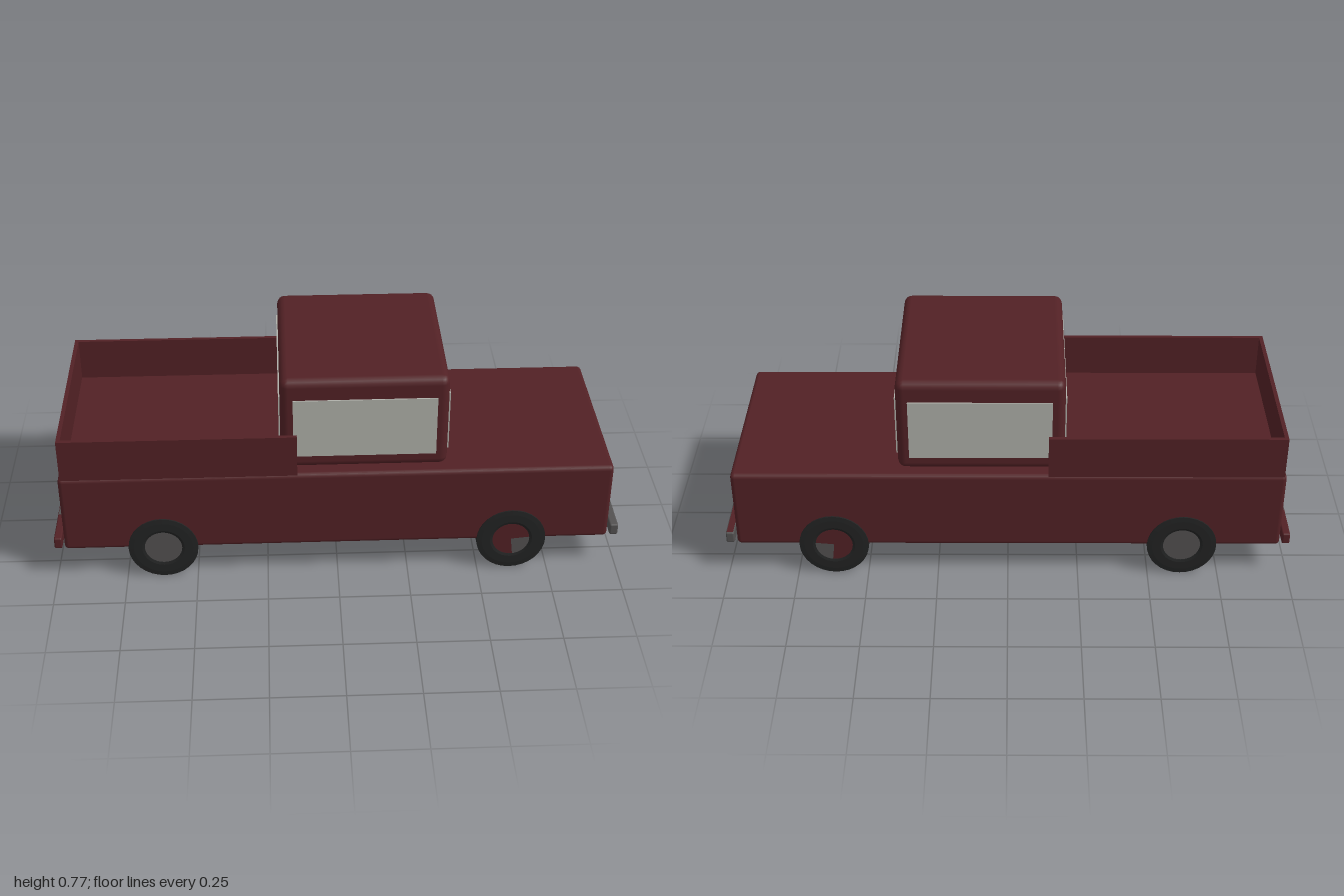
import * as THREE from 'three';
import { RoundedBoxGeometry } from 'three/addons/geometries/RoundedBoxGeometry.js';

const mat = (name, color, side = THREE.FrontSide) => {
  const m = new THREE.MeshStandardMaterial({ color, side });
  m.name = name;
  return m;
};

export function createModel() {
  const truck = new THREE.Group();
  truck.name = 'pickupTruck';
  const paint = mat('darkRedPaint', 0x522125);
  const glass = mat('paleGlass', 0xb0b1aa);
  const steel = mat('greySteel', 0x535151);
  const rubber = mat('blackRubber', 0x222323);

  const add = (name, geometry, material, parent = truck) => {
    const mesh = new THREE.Mesh(geometry, material);
    mesh.name = name;
    parent.add(mesh);
    return mesh;
  };
  // Box given by its limits on each axis, with optional rounded edges
  const box = (name, material, [x0, x1], [y0, y1], [z0, z1], radius = 0) => {
    const size = [x1 - x0, y1 - y0, z1 - z0];
    const geometry = radius
      ? new RoundedBoxGeometry(...size, 2, radius)
      : new THREE.BoxGeometry(...size);
    const mesh = add(name, geometry, material);
    mesh.position.set((x0 + x1) / 2, (y0 + y1) / 2, (z0 + z1) / 2);
    return mesh;
  };

  // Body and cab
  box('body', paint, [-0.965, 0.962], [0.12, 0.42], [-0.346, 0.346], 0.016);
  box('cab', paint, [-0.196, 0.381], [0.424, 0.775], [-0.313, 0.313], 0.028);
  box('cabBase', paint, [-0.165, 0.35], [0.41, 0.44], [-0.285, 0.285]);

  // Windscreen and rear window
  box('windscreen', glass, [0.378, 0.386], [0.477, 0.7], [-0.285, 0.285]);
  box('rearWindow', glass, [-0.201, -0.193], [0.477, 0.7], [-0.285, 0.285]);

  // Cargo bed
  box('tailgate', paint, [-0.955, -0.941], [0.418, 0.575], [-0.346, 0.346]);

  // Bumpers, with contrasting strips on top
  box('frontBumper', steel, [0.97, 1], [0.127, 0.17], [-0.346, 0.346], 0.006);
  box('frontBumperStrip', paint, [0.974, 0.996], [0.168, 0.171], [-0.34, 0.2]);
  box('rearBumper', paint, [-1, -0.972], [0.127, 0.17], [-0.346, 0.346], 0.006);
  box('rearBumperStrip', steel, [-0.997, -0.975], [0.168, 0.171], [-0.2, 0.2]);

  // Grille
  box('grille', steel, [0.956, 0.971], [0.24, 0.298], [-0.139, 0.139], 0.003);

  // Parts repeated on both sides
  for (const s of [1, -1]) {
    const span = (a, b) => (s > 0 ? [a, b] : [-b, -a]);
    box('sideWindow', glass, [-0.152, 0.34], [0.477, 0.7], span(0.309, 0.318));
    box('bedSide', paint, [-0.955, -0.14], [0.418, 0.575], span(0.333, 0.347));
    box('headlight', glass, [0.956, 0.974], [0.278, 0.322], span(0.188, 0.272), 0.004);
    box('tailLight', paint, [-0.975, -0.958], [0.3, 0.336], span(0.2, 0.275), 0.004);
  }

  // Wheels: tyre ring with a recessed hub, axis along z
  const tyreProfile = [
    [0.066, -0.036], [0.075, -0.039], [0.105, -0.039], [0.123, -0.037],
    [0.123, 0.037], [0.105, 0.039], [0.075, 0.039], [0.066, 0.036], [0.066, -0.036],
  ].map(([r, h]) => new THREE.Vector2(r, h));
  const tyreGeometry = new THREE.LatheGeometry(tyreProfile, 32)
    .toNonIndexed().rotateX(Math.PI / 2);
  tyreGeometry.computeVertexNormals();
  const hubGeometry = new THREE.CylinderGeometry(0.068, 0.068, 0.067, 32).rotateX(Math.PI / 2);
  const capGeometry = new THREE.CircleGeometry(0.067, 32);
  const wedgeGeometry = new THREE.CircleGeometry(0.067, 12, -1.45, 1.55);

  for (const x of [-0.617, 0.617]) {
    for (const s of [1, -1]) {
      const wheel = new THREE.Group();
      wheel.name = x > 0 ? 'frontWheel' : 'rearWheel';
      wheel.position.set(x, 0.123, s * 0.3135);
      truck.add(wheel);
      add('tyre', tyreGeometry, rubber, wheel);
      add('hub', hubGeometry, steel, wheel);
      if (x > 0) {
        // Painted front hub face with a bare steel wedge
        const cap = add('hubFace', capGeometry, paint, wheel);
        cap.position.z = s * 0.0345;
        const wedge = add('hubWedge', wedgeGeometry, steel, wheel);
        wedge.position.z = s * 0.0355;
        if (s < 0) {
          cap.rotation.y = Math.PI;
          wedge.scale.z = -1;
        }
      }
    }
  }
  return truck;
}
